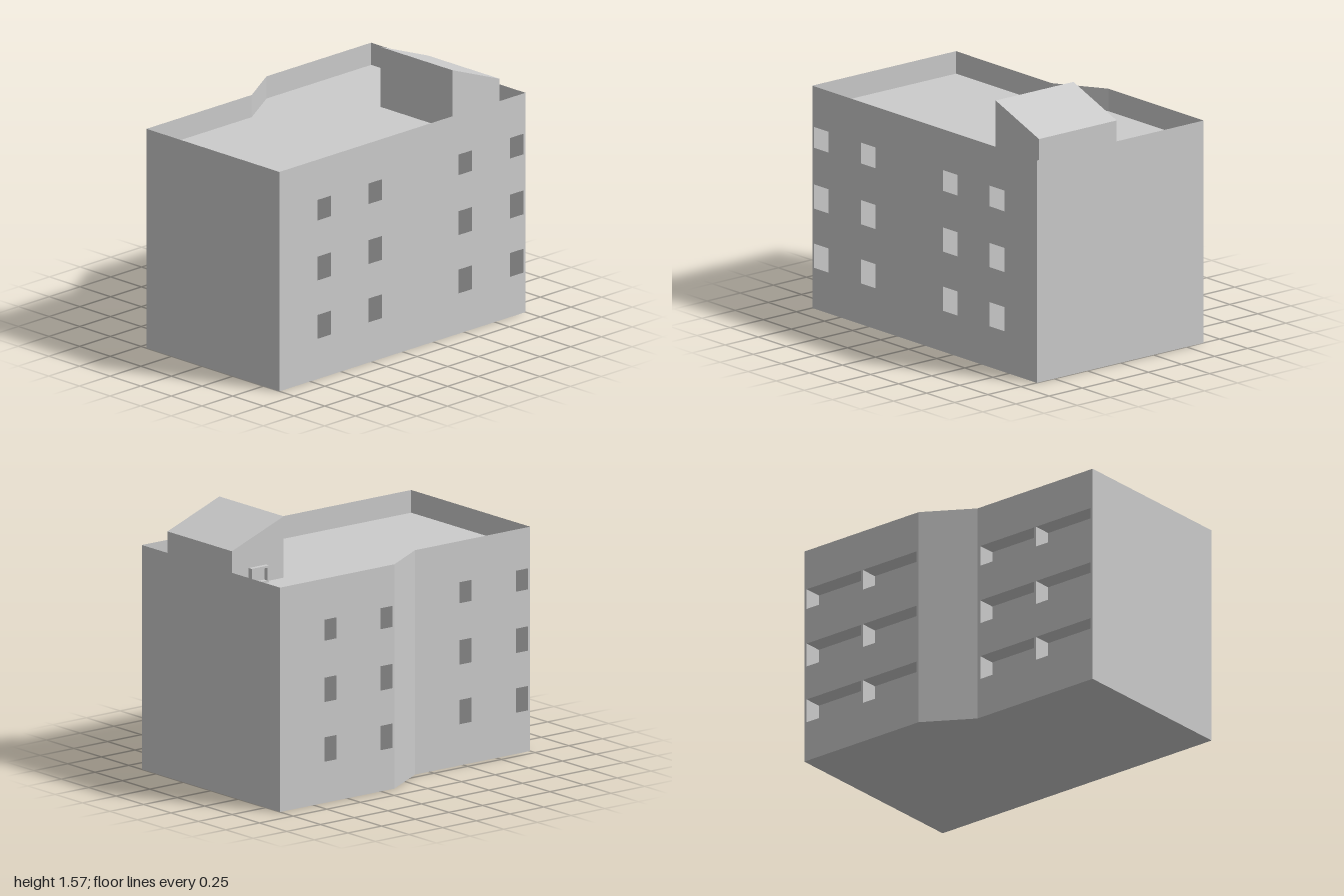
import * as THREE from 'three';
import { mergeGeometries } from 'three/addons/utils/BufferGeometryUtils.js';

const material = new THREE.MeshStandardMaterial({ color: 0xcccccc, flatShading: true, side: THREE.DoubleSide });

const TOP = 1.335, ROOF = 1.2;   // parapet top, roof deck
const RIGHT = 0.63, LEFT = -0.63, STEP = -0.455;
const Z1 = -0.15, Z2 = 0.145;    // ends of the slanted wall
const DEPTH = 0.11;              // depth of the loggias

// Loggia bays along z, and storeys as [floor, sill, ceiling]
const BACK_BAYS = [[-0.982, -0.58], [-0.565, -0.165]];
const FRONT_BAYS = [[0.165, 0.565], [0.58, 0.985]];
const STOREYS = [[0.02, 0.245, 0.39], [0.4, 0.6, 0.745], [0.755, 0.965, 1.09]];

function quad(a, b, c, d) {
  const g = new THREE.BufferGeometry();
  g.setAttribute('position', new THREE.Float32BufferAttribute([a, b, c, a, c, d].flat(), 3));
  g.computeVertexNormals();
  return g;
}

function add(group, name, geometry) {
  const mesh = new THREE.Mesh(geometry, material);
  mesh.name = name;
  group.add(mesh);
  return mesh;
}

function rect(Type, u0, v0, u1, v1) {
  return new Type([[u0, v0], [u1, v0], [u1, v1], [u0, v1]].map(p => new THREE.Vector2(...p)));
}

// Upright wall between two plan points
const wall = (x0, z0, x1, z1) => quad([x0, 0, z0], [x1, 0, z1], [x1, TOP, z1], [x0, TOP, z0]);

// Side wall with openings, and the recessed loggias behind them
function sideWall(name, x, side, z0, z1, bays) {
  const group = new THREE.Group();
  group.name = name;
  const shape = rect(THREE.Shape, z0, 0, z1, TOP);
  const recesses = [];
  const xi = x - side * DEPTH;
  for (const [a, b] of bays) {
    for (const [floor, sill, ceiling] of STOREYS) {
      shape.holes.push(rect(THREE.Path, a, sill, b, ceiling));
      recesses.push(
        quad([xi, floor, a], [xi, floor, b], [xi, ceiling, b], [xi, ceiling, a]),
        quad([x, floor, a], [xi, floor, a], [xi, ceiling, a], [x, ceiling, a]),
        quad([x, floor, b], [xi, floor, b], [xi, ceiling, b], [x, ceiling, b]),
        quad([x, floor, a], [x, floor, b], [xi, floor, b], [xi, floor, a]),
        quad([x, ceiling, a], [x, ceiling, b], [xi, ceiling, b], [xi, ceiling, a]));
    }
  }
  const face = new THREE.ShapeGeometry(shape).rotateY(-Math.PI / 2).translate(x, 0, 0);
  add(group, name + 'Face', face);
  add(group, name + 'Loggias', mergeGeometries(recesses));
  return group;
}

// Horizontal slab following the building's plan
function planSlab(y) {
  const outline = [[LEFT, -1], [RIGHT, -1], [RIGHT, 1], [STEP, 1], [STEP, Z2], [LEFT, Z1]];
  const shape = new THREE.Shape(outline.map(([x, z]) => new THREE.Vector2(x, -z)));
  return new THREE.ShapeGeometry(shape).rotateX(-Math.PI / 2).translate(0, y, 0);
}

export function createModel() {
  const building = new THREE.Group();
  building.name = 'apartmentBlock';

  // Shell
  add(building, 'frontWall', wall(STEP, 1, RIGHT, 1));
  add(building, 'backWall', wall(RIGHT, -1, LEFT, -1));
  add(building, 'slantedWall', wall(LEFT, Z1, STEP, Z2));
  building.add(
    sideWall('straightSideWall', RIGHT, 1, -1, 1, [...BACK_BAYS, ...FRONT_BAYS]),
    sideWall('wideSideWall', LEFT, -1, -1, Z1, BACK_BAYS),
    sideWall('narrowSideWall', STEP, -1, Z2, 1, FRONT_BAYS));
  add(building, 'roofDeck', planSlab(ROOF));
  add(building, 'baseSlab', planSlab(0));

  // Stair housing with a single-pitch roof; profile in (-z, y), extruded along x
  const profile = new THREE.Shape(
    [[0.51, ROOF], [0.895, ROOF], [0.895, 1.42], [0.51, 1.565]].map(p => new THREE.Vector2(...p)));
  const housing = new THREE.ExtrudeGeometry(profile, { depth: 0.587, bevelEnabled: false });
  housing.rotateY(Math.PI / 2).translate(-0.062, 0, 0);
  add(building, 'stairHousing', housing);

  // Projecting frame of the roof hatch
  const frame = rect(THREE.Shape, 0.642, ROOF, 0.77, 1.3);
  frame.holes.push(rect(THREE.Path, 0.654, ROOF + 0.012, 0.758, 1.288));
  const frameGeometry = new THREE.ExtrudeGeometry(frame, { depth: 0.028, bevelEnabled: false });
  frameGeometry.rotateY(Math.PI / 2).translate(-0.09, 0, 0);
  add(building, 'hatchFrame', frameGeometry);

  return building;
}
